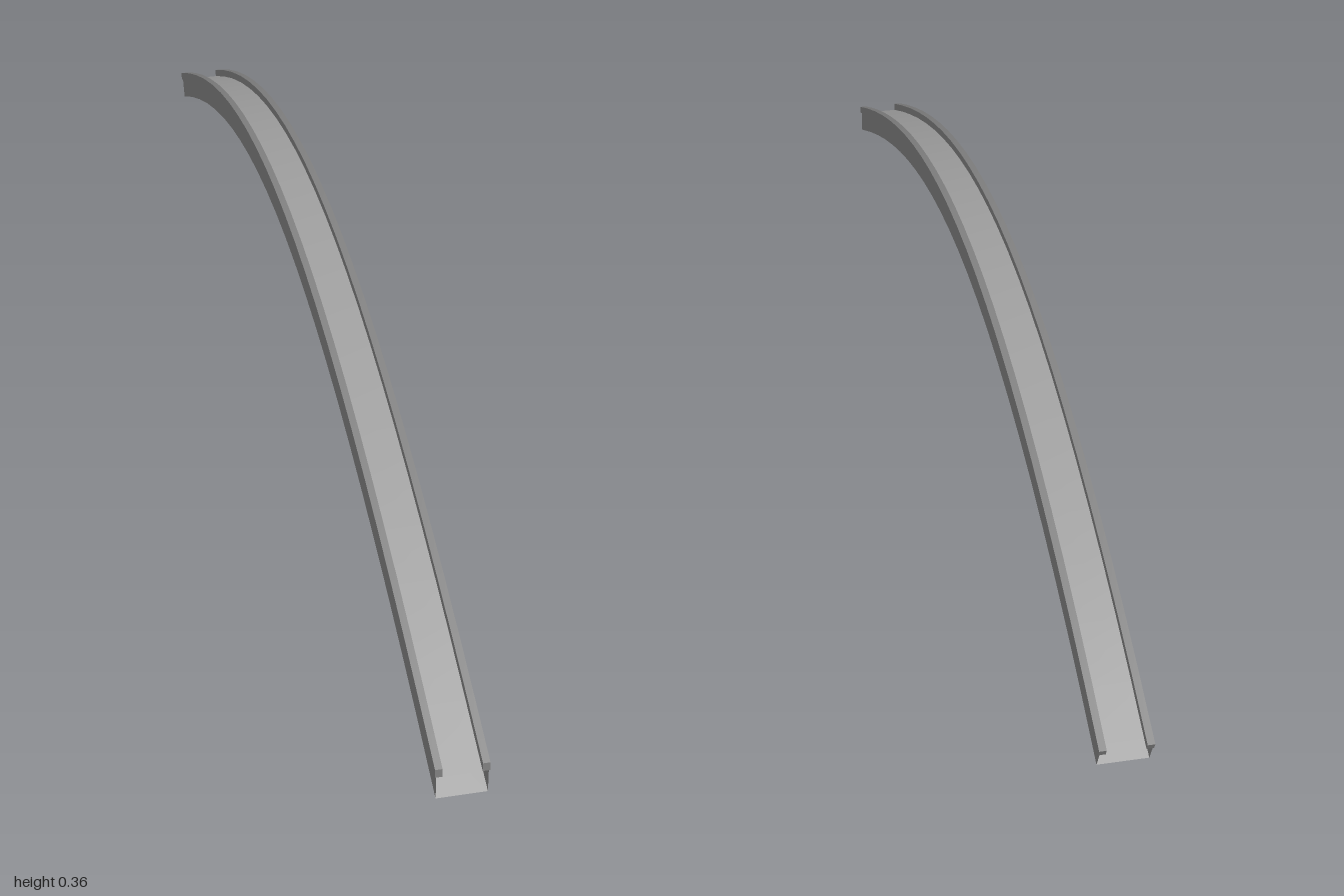
import * as THREE from 'three';
import { mergeGeometries } from 'three/addons/utils/BufferGeometryUtils.js';

const SEGMENTS = 24;
const HALF_BODY = 0.0365;   // half width of the hollow beam
const BODY_TOP = -0.012;    // offsets measured from the rail tops
const BODY_BOTTOM = -0.045;

// Path followed by the rail tops, from the front end to the back end
const path = new THREE.CubicBezierCurve3(
  new THREE.Vector3(0, 0.0502, 1),
  new THREE.Vector3(0, 0.408, 0.27),
  new THREE.Vector3(0, 0.485, -0.27),
  new THREE.Vector3(0, 0.12, -1)
);

// Point at parameter t of the path, shifted sideways by x and off the path by h
function station(t, [x, h]) {
  const p = path.getPoint(t);
  const d = path.getTangent(t);
  // The front end is cut upright, all other sections are square to the path
  if (t === 0) return [x, p.y + h / -d.z, p.z];
  return [x, p.y - d.z * h, p.z + d.y * h];
}

function surface(positions, index) {
  const geometry = new THREE.BufferGeometry();
  geometry.setAttribute('position', new THREE.Float32BufferAttribute(positions, 3));
  geometry.setIndex(index);
  geometry.computeVertexNormals();
  return geometry;
}

// Sweep one edge of a section, from a to b, along the path
function strip(a, b) {
  const positions = [];
  const index = [];
  for (let i = 0; i <= SEGMENTS; i++) {
    const t = i / SEGMENTS;
    positions.push(...station(t, a), ...station(t, b));
    const k = i * 2;
    if (i < SEGMENTS) index.push(k, k + 2, k + 1, k + 1, k + 2, k + 3);
  }
  return surface(positions, index);
}

// Rectangular rail with closed ends, corners counter-clockwise from the front
function rail(x0, x1) {
  const corners = [[x0, BODY_TOP], [x1, BODY_TOP], [x1, 0], [x0, 0]];
  const faces = corners.map((c, i) => strip(c, corners[(i + 1) % 4]));
  faces.push(surface(corners.flatMap((c) => station(0, c)), [0, 1, 2, 0, 2, 3]));
  faces.push(surface(corners.flatMap((c) => station(1, c)), [0, 2, 1, 0, 3, 2]));
  return mergeGeometries(faces);
}

export function createModel() {
  const group = new THREE.Group();
  group.name = 'archedBeam';
  const deckGrey = new THREE.MeshStandardMaterial({ color: 0x9e9e9e, side: THREE.DoubleSide });
  const sideGrey = new THREE.MeshStandardMaterial({ color: 0x808080, side: THREE.DoubleSide });

  const add = (name, geometry, material) => {
    const mesh = new THREE.Mesh(geometry, material);
    mesh.name = name;
    group.add(mesh);
  };

  // Hollow beam of thin plates, open at both ends
  const w = HALF_BODY;
  add('topDeck', strip([w, BODY_TOP], [-w, BODY_TOP]), deckGrey);
  add('bottomPlate', strip([-w, BODY_BOTTOM], [w, BODY_BOTTOM]), deckGrey);
  add('leftWall', strip([w, BODY_BOTTOM], [w, BODY_TOP]), sideGrey);
  add('rightWall', strip([-w, BODY_TOP], [-w, BODY_BOTTOM]), sideGrey);

  // Raised rails along both edges, slightly overhanging the beam
  add('leftRail', rail(0.028, 0.0385), sideGrey);
  add('rightRail', rail(-0.0385, -0.028), sideGrey);

  return group;
}
